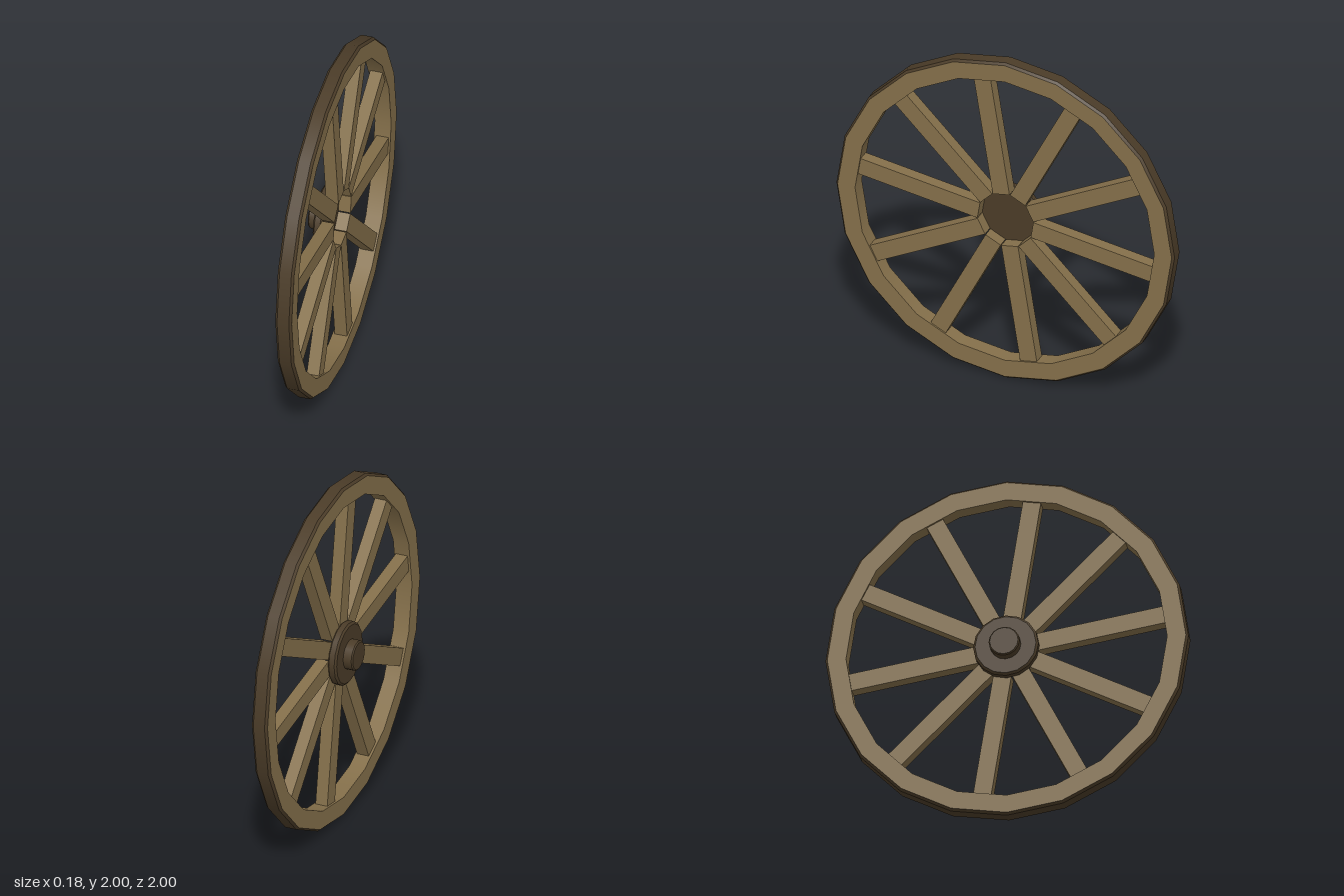
import * as THREE from 'three';
import { mergeGeometries } from 'three/addons/utils/BufferGeometryUtils.js';

// Revolve [radius, x] points about the x axis; each band keeps crisp edges but is smooth around.
function revolve(points, sides) {
  const bands = [];
  for (let i = 0; i < points.length - 1; i++) {
    const pair = [points[i], points[i + 1]].map(([r, x]) => new THREE.Vector2(r, x));
    bands.push(new THREE.LatheGeometry(pair, sides));
  }
  const geometry = mergeGeometries(bands);
  geometry.rotateZ(-Math.PI / 2);
  return geometry;
}

export function createModel() {
  const wood = new THREE.MeshStandardMaterial({ color: 0x846f4a });
  wood.name = 'light wood';
  const dark = new THREE.MeshStandardMaterial({ color: 0x4b3c28 });
  dark.name = 'dark wood';

  const wheel = new THREE.Group();
  wheel.name = 'wheel';
  wheel.position.y = 1;

  const add = (name, geometry, material) => {
    const mesh = new THREE.Mesh(geometry, material);
    mesh.name = name;
    wheel.add(mesh);
    return mesh;
  };

  // Rim: two flat sides and the inner surface
  const sides = 20;
  const outer = 0.988, inner = 0.885, back = -0.003, front = 0.09;
  add('rim', revolve([[outer, front], [inner, front], [inner, back], [outer, back]], sides), wood);

  // Tread with chamfered edges
  add('tread', revolve([[outer, back], [1, 0.01], [1, 0.077], [outer, front]], sides), dark);

  // Spokes meet the middle of every second rim facet
  const hubRadius = 0.16, spokeEnd = 0.88;
  for (let i = 0; i < 10; i++) {
    const geometry = new THREE.BoxGeometry(0.07, spokeEnd - hubRadius, 0.1);
    geometry.translate(0.045, (spokeEnd + hubRadius) / 2, 0);
    const spoke = add('spoke', geometry, wood);
    spoke.rotation.x = THREE.MathUtils.degToRad(9 + 36 * i);
  }

  // Hub flange behind the spokes, with a raised axle cap
  add('hub', revolve([
    [0.08, -0.038], [0.168, -0.038], [0.18, -0.028], [0.18, 0.004], [0.174, 0.012], [0, 0.012],
  ], 16), dark);
  add('axleCap', revolve([
    [0, -0.093], [0.078, -0.093], [0.085, -0.086], [0.085, -0.035],
  ], 16), dark);

  const model = new THREE.Group();
  model.name = 'spokedWheel';
  model.add(wheel);
  return model;
}
